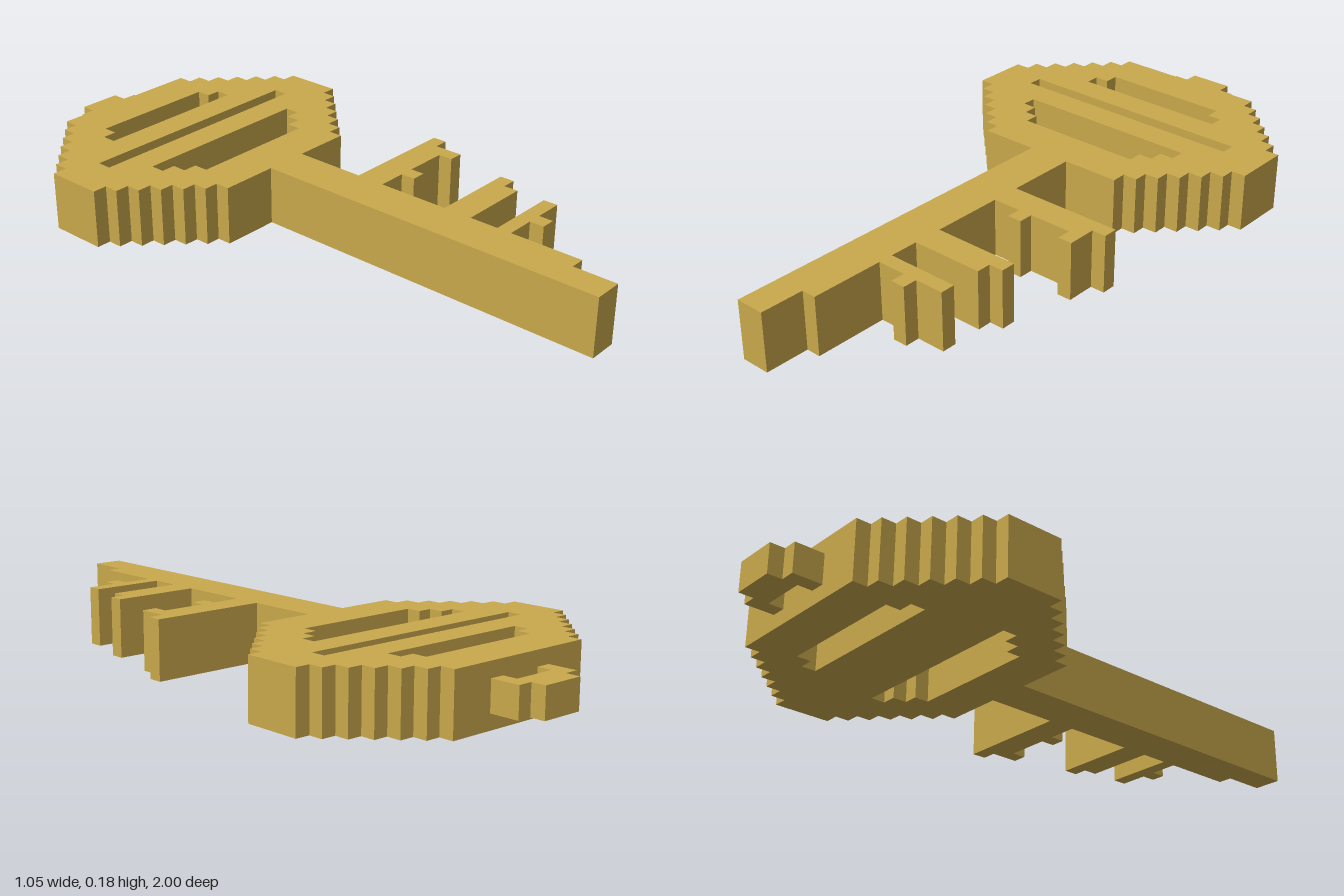
import * as THREE from 'three';

const U = 1 / 22; // one grid cell
const THICK = 4 * U;

// Right-hand staircase: one half-width per row, starting at the given row
function stairs(startRow, halfWidths) {
  return halfWidths.flatMap((w, i) => [[w, startRow + i], [w, startRow + i + 1]]);
}

const mirror = (points) => points.map(([x, row]) => [-x, row]).reverse();
const toVectors = (points) =>
  points
    .filter(([x, r], i) => {
      // drop points lying in the middle of a straight edge
      const [px, pr] = points[(i + points.length - 1) % points.length];
      const [nx, nr] = points[(i + 1) % points.length];
      return (x - px) * (nr - r) !== (r - pr) * (nx - x);
    })
    .map(([x, row]) => new THREE.Vector2(x * U, 1 - row * U));

// Flat plate lying in the ground plane, rising from bottom by height
function plate(name, outline, holes, bottom, height, material) {
  const shape = new THREE.Shape(toVectors(outline));
  // holes run opposite to the outline so that their walls face inward
  holes.forEach((h) => shape.holes.push(new THREE.Path(toVectors(h).reverse())));
  const geometry = new THREE.ExtrudeGeometry(shape, { depth: height, bevelEnabled: false });
  geometry.rotateX(-Math.PI / 2);
  geometry.translate(0, bottom, 0);
  const mesh = new THREE.Mesh(geometry, material);
  mesh.name = name;
  return mesh;
}

export function createModel() {
  const group = new THREE.Group();
  group.name = 'key';
  const brass = new THREE.MeshStandardMaterial({ color: 0xc9a84c });
  brass.name = 'brass';

  // Stepped oval bow
  const bow = stairs(3, [
    5.5, 6.5, 7.5, 8.5, 9.5, 10.5, 11.5, 11.5, 11.5, 11.5, 10.5, 9.5, 8.5, 7.5, 6.5, 5.5,
  ]);

  // Right edge of the shaft with three bits, ending in a narrower tip
  const shaft = [
    [1.5, 19],
    [1.5, 24], [9.5, 24], [9.5, 25], [8.5, 25], [8.5, 27], [7.5, 27], [7.5, 26],
    [4.5, 26], [4.5, 27], [3.5, 27], [3.5, 26], [1.5, 26],
    [1.5, 31], [7.5, 31], [7.5, 32], [6.5, 32], [6.5, 33], [1.5, 33],
    [1.5, 35], [6.5, 35], [6.5, 36], [4.5, 36], [4.5, 37], [3.5, 37], [3.5, 36], [1.5, 36],
    [1.5, 41], [0.5, 41], [0.5, 44],
    [-1.5, 44], [-1.5, 19],
  ];

  // Two windows through the bow, and the slot for the groove
  const windows = [
    stairs(6, [4.5, 5.5]),
    stairs(13, [6.5, 5.5, 4.5]),
    stairs(10, [8.5]),
  ].map((side) => [...side, ...mirror(side)]);

  group.add(plate('keyBody', [...bow, ...shaft, ...mirror(bow)], windows, 0, THICK, brass));

  // Floor of the shallow groove across the bow
  const floor = new THREE.Mesh(new THREE.BoxGeometry(17 * U, 3 * U, U), brass);
  floor.name = 'grooveFloor';
  floor.position.set(0, 1.5 * U, -1 + 10.5 * U);
  group.add(floor);

  // Thinner hanging loop behind the bow
  const loopSide = [[1.5, 0], [1.5, 1], [2.5, 1], [2.5, 3], [1.5, 3], [1.5, 2]];
  group.add(plate('hangingLoop', [...loopSide, ...mirror(loopSide)], [], U, 2 * U, brass));

  return group;
}
